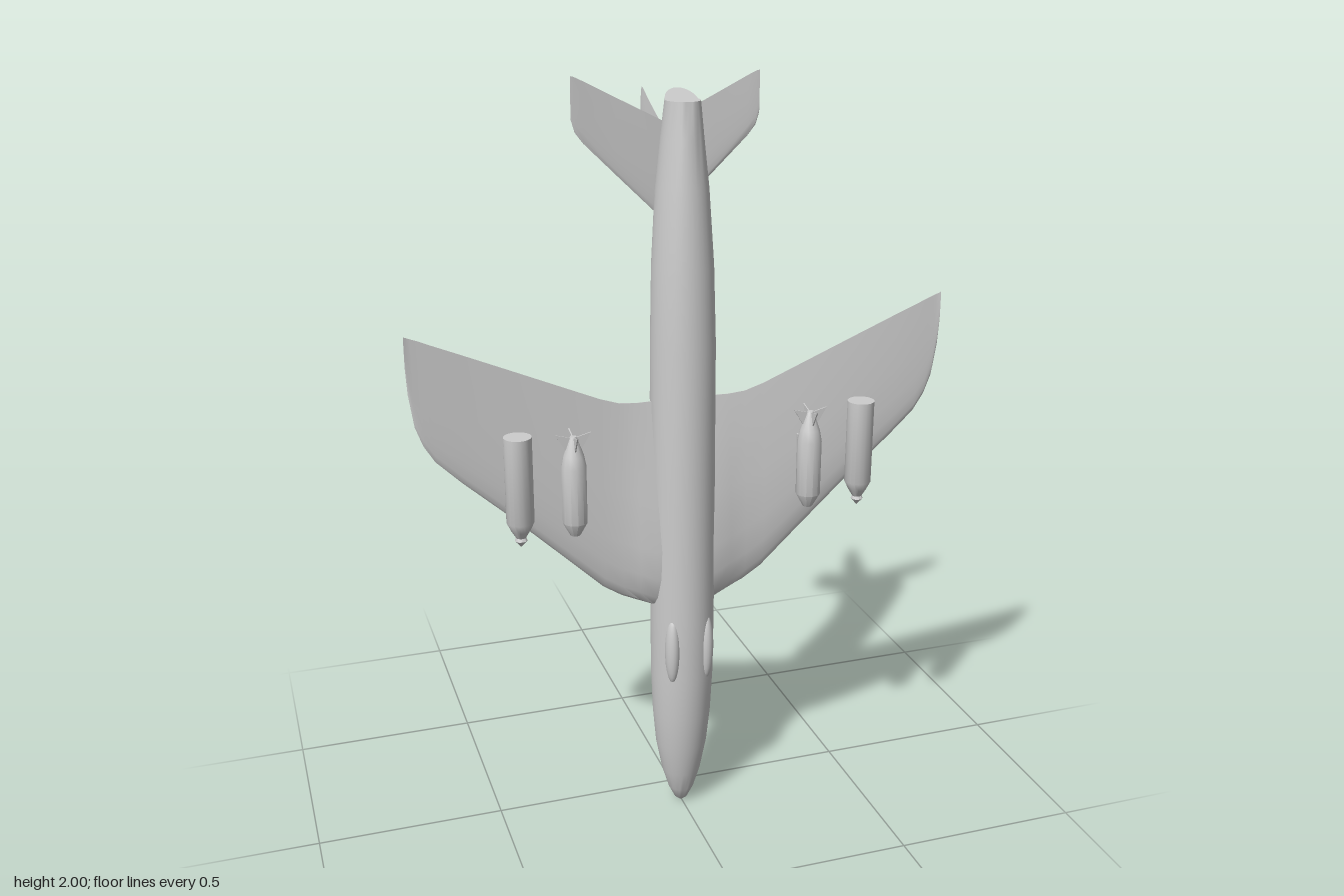
import * as THREE from 'three';
import { toCreasedNormals } from 'three/addons/utils/BufferGeometryUtils.js';

// Closed skin through rings of [x, y, z] points, with both ends capped; faces always point outward
function loft(rings, crease = 0.7) {
  const n = rings[0].length, pos = rings.flat(2), idx = [];
  for (let i = 0; i < rings.length - 1; i++)
    for (let j = 0; j < n; j++) {
      const a = i * n + j, b = i * n + (j + 1) % n;
      idx.push(a, b, a + n, b, b + n, a + n);
    }
  [0, rings.length - 1].forEach((r, end) => {
    const c = pos.length / 3;
    for (let k = 0; k < 3; k++) pos.push(rings[r].reduce((s, p) => s + p[k], 0) / n);
    for (let j = 0; j < n; j++) {
      const a = r * n + j, b = r * n + (j + 1) % n;
      idx.push(...(end ? [a, b, c] : [b, a, c]));
    }
  });
  const at = i => new THREE.Vector3().fromArray(pos, i * 3);
  let volume = 0;
  for (let i = 0; i < idx.length; i += 3)
    volume += at(idx[i]).dot(at(idx[i + 1]).cross(at(idx[i + 2])));
  if (volume < 0) idx.reverse();
  const g = new THREE.BufferGeometry();
  g.setAttribute('position', new THREE.Float32BufferAttribute(pos, 3));
  g.setIndex(idx);
  return toCreasedNormals(g, crease);
}

// Body of elliptical sections [y, centre z, half width, half depth]
function body(sections, sides = 28) {
  return loft(sections.map(([y, zc, rx, rz]) => Array.from({ length: sides }, (_, i) => {
    const t = i / sides * Math.PI * 2;
    return [rx * Math.cos(t), y, zc + rz * Math.sin(t)];
  })));
}

// Aerofoil outline: chord fraction, height (-1 to 1)
const FOIL = [[0, 0], [0.015, 0.4], [0.06, 0.72], [0.16, 0.95], [0.3, 1], [0.55, 0.75], [0.8, 0.36], [1, 0.02],
  [1, -0.02], [0.8, -0.36], [0.55, -0.75], [0.3, -1], [0.16, -0.95], [0.06, -0.72], [0.015, -0.4]];

export function createModel() {
  const model = new THREE.Group();
  const grey = new THREE.MeshStandardMaterial({ color: 0xcccccc });
  grey.name = 'light grey';
  const add = (name, geo, x = 0, y = 0, z = 0, parent = model) => {
    const m = new THREE.Mesh(geo, grey);
    m.name = name;
    m.position.set(x, y, z);
    parent.add(m);
    return m;
  };

  // Fuselage, nose at the bottom
  const hull = [[0.004, 0.094, 0.006, 0.006], [0.015, 0.094, 0.018, 0.018], [0.05, 0.094, 0.035, 0.035],
    [0.11, 0.094, 0.053, 0.053], [0.2, 0.094, 0.07, 0.071], [0.3, 0.096, 0.079, 0.082], [0.42, 0.098, 0.084, 0.088],
    [0.6, 0.1, 0.085, 0.09], [1.0, 0.1, 0.084, 0.09], [1.35, 0.1, 0.083, 0.088], [1.55, 0.096, 0.078, 0.083],
    [1.74, 0.09, 0.066, 0.075], [1.86, 0.09, 0.053, 0.062], [1.95, 0.095, 0.043, 0.049]];
  const fuselage = body(hull, 32);
  // Raised upper lip at the exhaust
  const p = fuselage.attributes.position;
  for (let i = 0; i < p.count; i++)
    if (p.getY(i) > 1.94 && p.getZ(i) < 0.085) p.setY(i, 1.95 + (0.085 - p.getZ(i)) * 0.6);
  add('fuselage', fuselage);

  // Canopy running back into the dorsal spine
  add('canopyAndSpine', body([[0.215, 0.03, 0.005, 0.006], [0.25, 0.025, 0.025, 0.03], [0.3, 0.02, 0.038, 0.043],
    [0.36, 0.015, 0.047, 0.056], [0.42, 0.012, 0.05, 0.059], [0.48, 0.014, 0.047, 0.054], [0.54, 0.018, 0.04, 0.042],
    [0.6, 0.02, 0.03, 0.03], [0.68, 0.02, 0.026, 0.028], [1.3, 0.02, 0.024, 0.028], [1.5, 0.025, 0.022, 0.034],
    [1.7, 0.025, 0.016, 0.032], [1.85, 0.03, 0.008, 0.022]], 20));

  // Tail fin: z, leading y, trailing y, half thickness
  const fin = [[0.03, 1.33, 1.84, 0.014], [-0.008, 1.4, 1.845, 0.013], [-0.03, 1.49, 1.855, 0.012],
    [-0.07, 1.6, 1.87, 0.011], [-0.13, 1.69, 1.895, 0.01], [-0.19, 1.775, 1.922, 0.008],
    [-0.225, 1.825, 1.94, 0.006], [-0.24, 1.86, 1.945, 0.004], [-0.246, 1.89, 1.938, 0.002]];
  add('tailFin', loft(fin.map(([z, le, te, h]) => FOIL.map(([c, s]) => [s * h, le + c * (te - le), z]))));
  add('tailBullet', body([[1.7, -0.036, 0.002, 0.002], [1.76, -0.036, 0.009, 0.009], [1.82, -0.036, 0.011, 0.011],
    [1.87, -0.036, 0.008, 0.008], [1.91, -0.036, 0.001, 0.001]], 12));

  // Surface stations: x, leading y, trailing y, top z, bottom z, trailing z
  const wing = [[0.04, 0.625, 1.2, 0.04, 0.15, 0.095], [0.085, 0.63, 1.2, 0.045, 0.148, 0.095],
    [0.125, 0.65, 1.2, 0.066, 0.138, 0.097], [0.17, 0.672, 1.205, 0.08, 0.132, 0.1],
    [0.22, 0.705, 1.222, 0.085, 0.13, 0.103], [0.3, 0.782, 1.257, 0.089, 0.13, 0.107],
    [0.47, 0.945, 1.332, 0.1, 0.13, 0.117], [0.58, 1.045, 1.38, 0.109, 0.131, 0.123],
    [0.645, 1.11, 1.408, 0.116, 0.132, 0.127], [0.672, 1.155, 1.42, 0.12, 0.132, 0.128],
    [0.69, 1.205, 1.427, 0.122, 0.132, 0.129], [0.702, 1.29, 1.432, 0.126, 0.132, 0.13],
    [0.705, 1.35, 1.434, 0.128, 0.132, 0.131]];
  const tailplane = [[0, 1.63, 1.88, -0.047, -0.037, -0.041], [0.04, 1.668, 1.9, -0.045, -0.035, -0.039],
    [0.13, 1.755, 1.945, -0.041, -0.033, -0.036], [0.215, 1.838, 1.988, -0.036, -0.03, -0.032],
    [0.236, 1.865, 1.998, -0.034, -0.029, -0.03], [0.245, 1.895, 2.0, -0.032, -0.029, -0.03]];
  const surface = (stations, side) => loft(stations.map(([x, le, te, top, bottom, tz]) => FOIL.map(([c, s]) => {
    const mid = (top + bottom) / 2, drift = c > 0.3 ? (c - 0.3) / 0.7 * (tz - mid) : 0;
    return [side * x, le + c * (te - le), mid + drift - s * (bottom - top) / 2];
  })));

  // Lathe profiles of the underwing stores: radius, y
  const turned = (pts, sides) =>
    toCreasedNormals(new THREE.LatheGeometry(pts.map(([r, y]) => new THREE.Vector2(r, y)), sides), 0.6);
  const podShape = [[0, 0.915], [0.012, 0.915], [0.024, 0.935], [0.035, 0.958], [0.035, 1.18], [0, 1.18]];
  const tipShape = [[0, 0.89], [0.016, 0.908], [0.012, 0.918], [0, 0.918]];
  const bombShape = [[0, 0.9], [0.013, 0.903], [0.032, 0.938], [0.032, 1.085], [0.026, 1.115], [0.008, 1.165], [0, 1.165]];
  const finShape = new THREE.Shape([[0, 1.09], [0.014, 1.12], [0.045, 1.172], [0, 1.16]].map(q => new THREE.Vector2(...q)));

  for (const side of [1, -1]) {
    const label = side > 0 ? 'left' : 'right';
    add(label + 'Wing', surface(wing, side));
    add(label + 'Tailplane', surface(tailplane, side));

    // Gun fairing under the nose
    const blister = new THREE.SphereGeometry(1, 20, 14);
    blister.scale(0.02, 0.097, 0.025);
    add(label + 'GunFairing', blister, side * 0.047, 0.515, 0.162);
    add(label + 'Vent', new THREE.BoxGeometry(0.012, 0.022, 0.016), side * 0.062, 1.197, 0.042);

    // Outer pod
    const pod = new THREE.Group();
    pod.name = label + 'Pod';
    pod.position.set(side * 0.455, 0, 0.2);
    add('podBody', turned(podShape, 20), 0, 0, 0, pod);
    add('podTip', turned(tipShape, 10), 0, 0, 0, pod);
    add('podPylon', new THREE.BoxGeometry(0.012, 0.08, 0.065), 0, 1.04, -0.055, pod);

    // Inner bomb with four fins
    const bomb = new THREE.Group();
    bomb.name = label + 'Bomb';
    bomb.position.set(side * 0.315, 0, 0.196);
    add('bombBody', turned(bombShape, 12), 0, 0, 0, bomb);
    for (let i = 0; i < 4; i++) {
      const plate = new THREE.ExtrudeGeometry(finShape, { depth: 0.003, bevelEnabled: false });
      plate.translate(0, 0, -0.0015);
      add('bombFin', plate, 0, 0, 0, bomb).rotation.y = i * Math.PI / 2;
    }
    add('bombPylon', new THREE.BoxGeometry(0.012, 0.08, 0.065), 0, 1.04, -0.055, bomb);
    model.add(pod, bomb);
  }
  return model;
}
